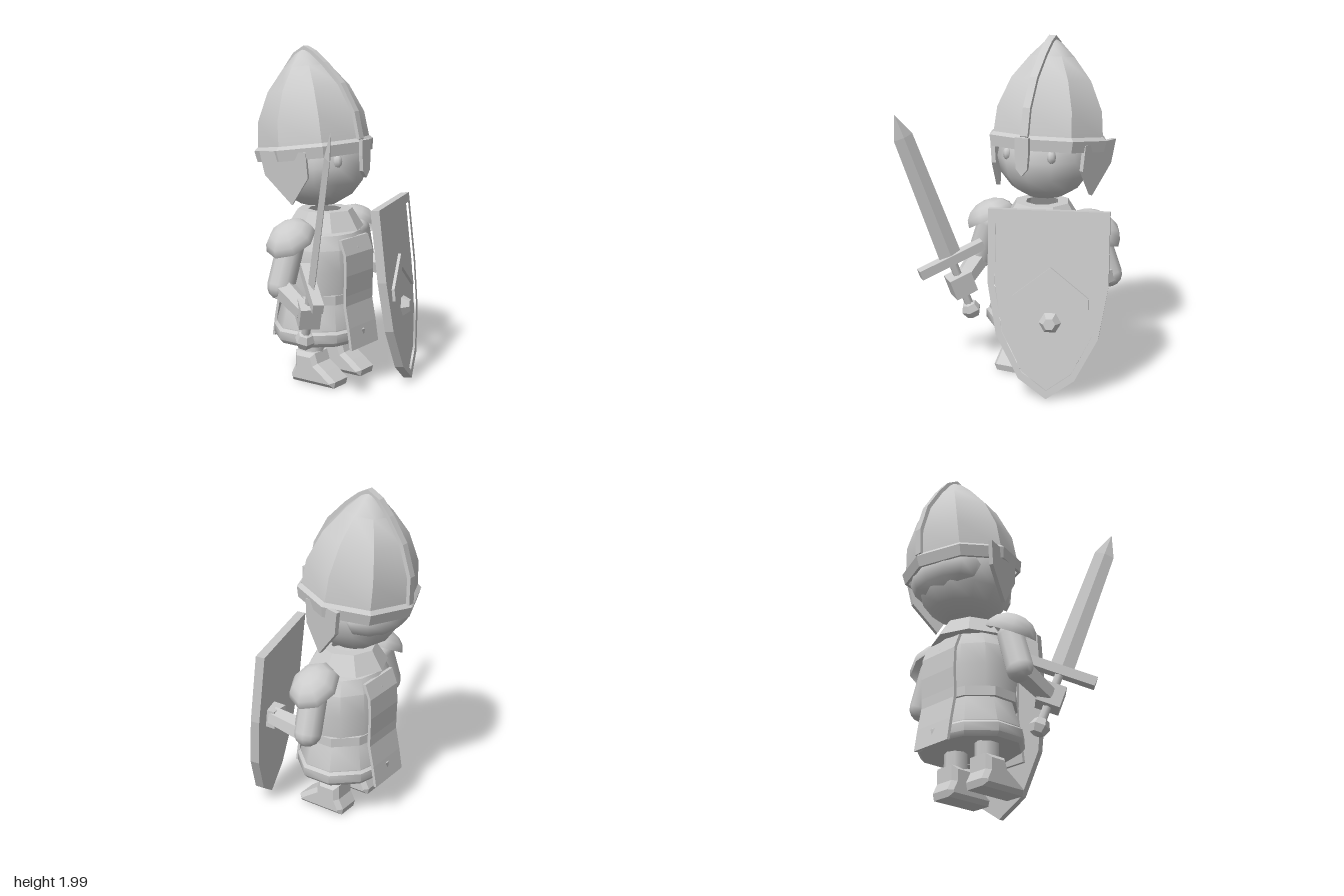
import * as THREE from 'three';
import { toCreasedNormals } from 'three/addons/utils/BufferGeometryUtils.js';

const solid = new THREE.MeshStandardMaterial({ color: 0xcccccc });
const open = new THREE.MeshStandardMaterial({ color: 0xcccccc, side: THREE.DoubleSide });
const CX = 0.075; // body axis
const CZ = -0.05;

const V = (x, y, z) => new THREE.Vector3(x, y, z);
const pts = (list) => list.map(([x, y]) => new THREE.Vector2(x, y));

function add(parent, name, geometry, position = [0, 0, 0], material = solid) {
  const mesh = new THREE.Mesh(geometry, material);
  mesh.name = name;
  mesh.position.set(...position);
  parent.add(mesh);
  return mesh;
}

const lathe = (profile, sides, crease) =>
  toCreasedNormals(new THREE.LatheGeometry(pts(profile), sides), crease);

const extrude = (shape, depth) =>
  new THREE.ExtrudeGeometry(shape, { depth, bevelEnabled: false });

// Outline given as [z, y], extruded across x and centred
function sideExtrude(outline, width, bevel = 0) {
  const geo = new THREE.ExtrudeGeometry(new THREE.Shape(pts(outline)), {
    depth: width - 2 * bevel, bevelEnabled: bevel > 0,
    bevelSize: bevel, bevelThickness: bevel, bevelOffset: -bevel, bevelSegments: 1,
  });
  return geo.translate(0, 0, bevel - width / 2).rotateY(-Math.PI / 2);
}

// Ribbon outline: a path and its copy shifted by t in z
const ribbon = (path, t) => [...path, ...path.map(([z, y]) => [z + t, y]).reverse()];

// Places a y-aligned mesh between two points
function aim(mesh, a, b) {
  mesh.position.copy(a).lerp(b, 0.5);
  mesh.quaternion.setFromUnitVectors(V(0, 1, 0), b.clone().sub(a).normalize());
  return mesh;
}

function ball(parent, name, position, scale, w = 16, h = 12) {
  const mesh = add(parent, name, new THREE.SphereGeometry(1, w, h), position);
  mesh.scale.set(...scale);
  return mesh;
}

function makeHelmet() {
  const g = new THREE.Group();
  g.name = 'helmet';
  g.position.set(CX, 1.39, -0.125);
  g.rotation.x = -0.127;
  const dome = [[0.345, 0.03], [0.328, 0.19], [0.25, 0.36], [0.14, 0.49], [0.06, 0.565], [0, 0.6]];
  add(g, 'dome', lathe(dome, 8, 0.6), [0, 0, 0], open).scale.z = 0.96;
  const brim = [[0.335, -0.04], [0.355, -0.04], [0.368, 0.025], [0.345, 0.045]];
  add(g, 'brim', lathe(brim, 8, 0.5), [0, 0, 0], open).scale.z = 0.96;
  // Ridge running from front to back over the top
  const front = dome.map(([r, y]) => [r * 0.96 + 0.012, y + 0.01]);
  const back = dome.slice(0, -1).map(([r, y]) => [-r * 0.96 - 0.012, y + 0.01]).reverse();
  const over = [...front, ...back];
  const under = over.map(([z, y]) => [z * 0.9, y - 0.03]).reverse();
  add(g, 'crest', sideExtrude([...over, ...under], 0.045));
  return g;
}

function makeShield() {
  const g = new THREE.Group();
  g.name = 'shield';
  g.position.set(0.26, 1.085, 0.265);
  g.rotation.set(-0.11, 0.3, 0, 'YXZ');
  const half = [[0.34, 0], [0.34, -0.42], [0.29, -0.72], [0.16, -0.97], [0, -1.085]];
  const outline = [...half, ...half.slice(0, 4).reverse().map(([x, y]) => [-x, y])];
  const inner = outline.map(([x, y]) => [x * 0.88, -0.055 + y * 0.905]);
  const rim = new THREE.Shape(pts(outline));
  rim.holes.push(new THREE.Path(pts(inner)));
  add(g, 'shieldRim', extrude(rim, 0.052));
  add(g, 'shieldPlate', extrude(new THREE.Shape(pts(inner)), 0.038));
  const chevron = [[-0.215, -0.49], [0, -0.32], [0.215, -0.49], [0.215, -0.56], [0, -0.4], [-0.215, -0.56]];
  add(g, 'chevron', extrude(new THREE.Shape(pts(chevron)), 0.02), [0.015, 0, 0.036]);
  const boss = new THREE.CylinderGeometry(0.035, 0.066, 0.05, 6).toNonIndexed();
  boss.computeVertexNormals();
  add(g, 'boss', boss.rotateX(Math.PI / 2).rotateZ(Math.PI / 6), [0.015, -0.64, 0.06]);
  return g;
}

function makeSword() {
  const g = new THREE.Group();
  g.name = 'sword';
  g.position.set(-0.405, 0.685, 0.2);
  const up = V(-0.2, 0.9, 0.27).normalize();
  const across = V(0.27, 0.13, -0.29);
  across.addScaledVector(up, -across.dot(up)).normalize();
  g.quaternion.setFromRotationMatrix(
    new THREE.Matrix4().makeBasis(across, up, across.clone().cross(up)));
  const flat = (geo) => toCreasedNormals(geo, 0.2);
  add(g, 'blade', flat(new THREE.CylinderGeometry(0.058, 0.07, 0.82, 4)), [0, 0.41, 0]).scale.z = 0.3;
  add(g, 'bladeTip', flat(new THREE.CylinderGeometry(0, 0.058, 0.145, 4)), [0, 0.892, 0]).scale.z = 0.3;
  add(g, 'guard', new THREE.BoxGeometry(0.42, 0.058, 0.06));
  add(g, 'grip', new THREE.CylinderGeometry(0.027, 0.027, 0.32, 6), [0, -0.17, 0]);
  add(g, 'pommel', flat(new THREE.SphereGeometry(0.06, 6, 4)), [0, -0.36, 0]);
  add(g, 'swordHand', new THREE.BoxGeometry(0.14, 0.13, 0.12), [0, -0.17, 0]);
  return g;
}

export function createModel() {
  const model = new THREE.Group();

  // Head
  ball(model, 'head', [CX, 1.31, -0.1], [0.285, 0.26, 0.29], 12, 8);
  ball(model, 'hair', [CX, 1.31, -0.24], [0.27, 0.15, 0.18], 12, 6);
  model.add(makeHelmet());
  const nose = [[-0.042, 0.22], [-0.042, 0.13], [-0.034, 0.04], [0, 0], [0.034, 0.04], [0.042, 0.13], [0.042, 0.22]];
  add(model, 'noseGuard', extrude(new THREE.Shape(pts(nose).reverse()), 0.025), [CX, 1.25, 0.22]);

  // Torso, skirt and belt share an oval section
  const body = new THREE.Group();
  body.name = 'body';
  body.position.set(CX, 0, CZ);
  body.scale.x = 1.22;
  model.add(body);
  add(body, 'torso', lathe([[0.235, 0.54], [0.25, 0.7], [0.24, 0.83], [0.2, 0.91], [0, 0.95]], 12, 0.6), [0, 0, 0], open);
  add(body, 'skirt', lathe([[0, 0.29], [0.26, 0.29], [0.27, 0.36], [0.235, 0.5], [0.22, 0.56]], 10, 0.7), [0, 0, 0], open);
  add(body, 'hem', lathe([[0.2, 0.265], [0.265, 0.265], [0.285, 0.29], [0.285, 0.34], [0.265, 0.36]], 10, 0.7), [0, 0, 0], open);
  add(body, 'belt', lathe([[0.22, 0.51], [0.25, 0.51], [0.25, 0.565], [0.22, 0.565]], 10, 0.5), [0, 0, 0], open);
  add(model, 'collar', lathe([[0.15, 0.92], [0.235, 0.93], [0.165, 1.04], [0.1, 1.04]], 8, 0.4), [CX, 0, CZ], open);

  // Cloth panels hanging front and back
  const drape = [[0.215, 0.89], [0.25, 0.8], [0.255, 0.68], [0.25, 0.56], [0.25, 0.5], [0.275, 0.37], [0.295, 0.24]];
  add(model, 'frontPanel', sideExtrude(ribbon(drape, -0.018), 0.28), [CX, 0, CZ]);
  add(model, 'backPanel', sideExtrude(ribbon(drape.map(([z, y]) => [-z, y]), 0.018), 0.28), [CX, 0, CZ]);

  const bootSide = [[-0.12, 0.2], [-0.12, 0.11], [-0.15, 0.05], [-0.14, 0.01], [0.16, 0.01], [0.17, 0.05], [0.1, 0.1], [0.04, 0.14], [0.02, 0.2]];
  const flapSide = [[0.13, 0.05], [0.14, -0.1], [0.04, -0.26], [-0.12, -0.09], [-0.15, 0.05]];

  for (const s of [-1, 1]) {
    const side = s > 0 ? 'left' : 'right';
    const at = (x) => CX + s * x;
    ball(model, side + 'Eye', [at(0.137), 1.35, 0.135], [0.027, 0.04, 0.03], 8, 6);
    const flap = add(model, side + 'EarFlap', sideExtrude(flapSide, 0.025), [at(0.325), 1.36, -0.1]);
    flap.rotation.set(0, -s * 0.3, -s * 0.07);

    // Legs
    add(model, side + 'Leg', new THREE.CylinderGeometry(0.068, 0.068, 0.15, 8), [at(0.13), 0.235, -0.045]);
    add(model, side + 'Boot', sideExtrude(bootSide, 0.175, 0.025), [at(0.14), 0, 0]);

    // Arms
    const cap = new THREE.SphereGeometry(1, 8, 4, 0, Math.PI * 2, 0, Math.PI / 2);
    const pauldron = add(model, side + 'Pauldron', cap, [at(0.335), 0.895, CZ], open);
    pauldron.scale.set(0.165, 0.115, 0.14);
    pauldron.rotation.z = -s * 0.48;
    const shoulder = V(at(0.34), 0.87, CZ);
    const elbow = V(at(0.42), 0.645, -0.06);
    const wrist = s > 0 ? V(0.44, 0.64, 0.22) : V(-0.37, 0.53, 0.13);
    aim(add(model, side + 'UpperArm', new THREE.CapsuleGeometry(0.08, shoulder.distanceTo(elbow), 4, 10)), shoulder, elbow);
    const bracer = toCreasedNormals(new THREE.CylinderGeometry(0.06, 0.072, elbow.distanceTo(wrist), 6), 0.3);
    aim(add(model, side + 'Bracer', bracer), elbow, wrist);
  }
  add(model, 'shieldHand', new THREE.BoxGeometry(0.11, 0.11, 0.09), [0.43, 0.64, 0.235]);

  model.add(makeShield(), makeSword());
  return model;
}
